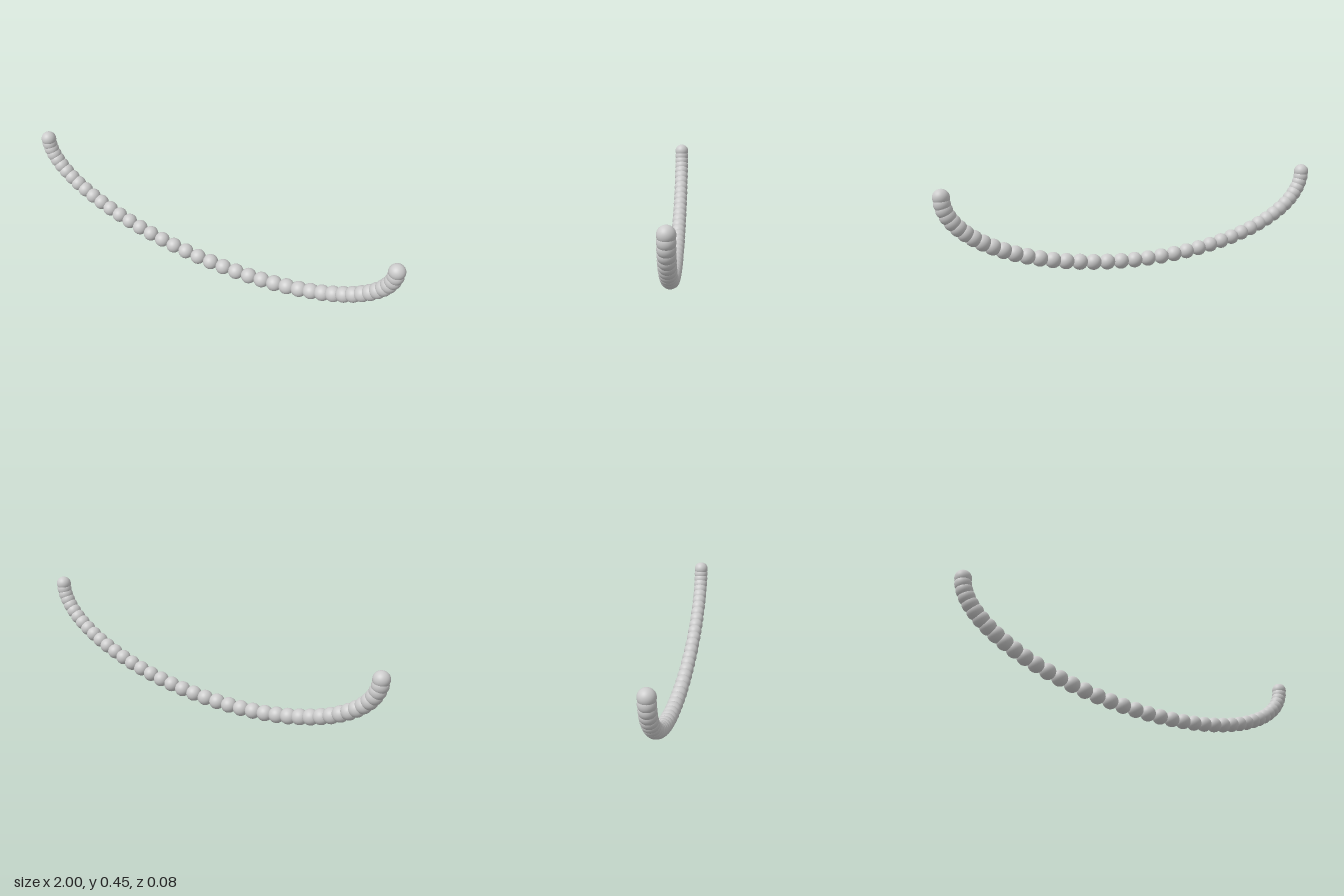
import * as THREE from 'three';

// A string of beads hanging along the lower half of an ellipse
export function createModel() {
  const group = new THREE.Group();
  group.name = 'beadString';

  const count = 42;
  const radius = 0.0375;
  const halfWidth = 1 - radius;
  const drop = 0.372;
  const topY = radius + drop * Math.cos(Math.PI / (count - 1) / 2);

  const beadGeometry = new THREE.SphereGeometry(radius, 32, 24);
  const material = new THREE.MeshStandardMaterial({ color: 0xcccccc });

  // Beads at equal angle steps, from the right end to the left end
  for (let i = 0; i < count; i++) {
    const angle = (Math.PI * i) / (count - 1);
    const bead = new THREE.Mesh(beadGeometry, material);
    bead.name = `bead${i + 1}`;
    bead.position.set(-halfWidth * Math.cos(angle), topY - drop * Math.sin(angle), 0);
    group.add(bead);
  }
  return group;
}
